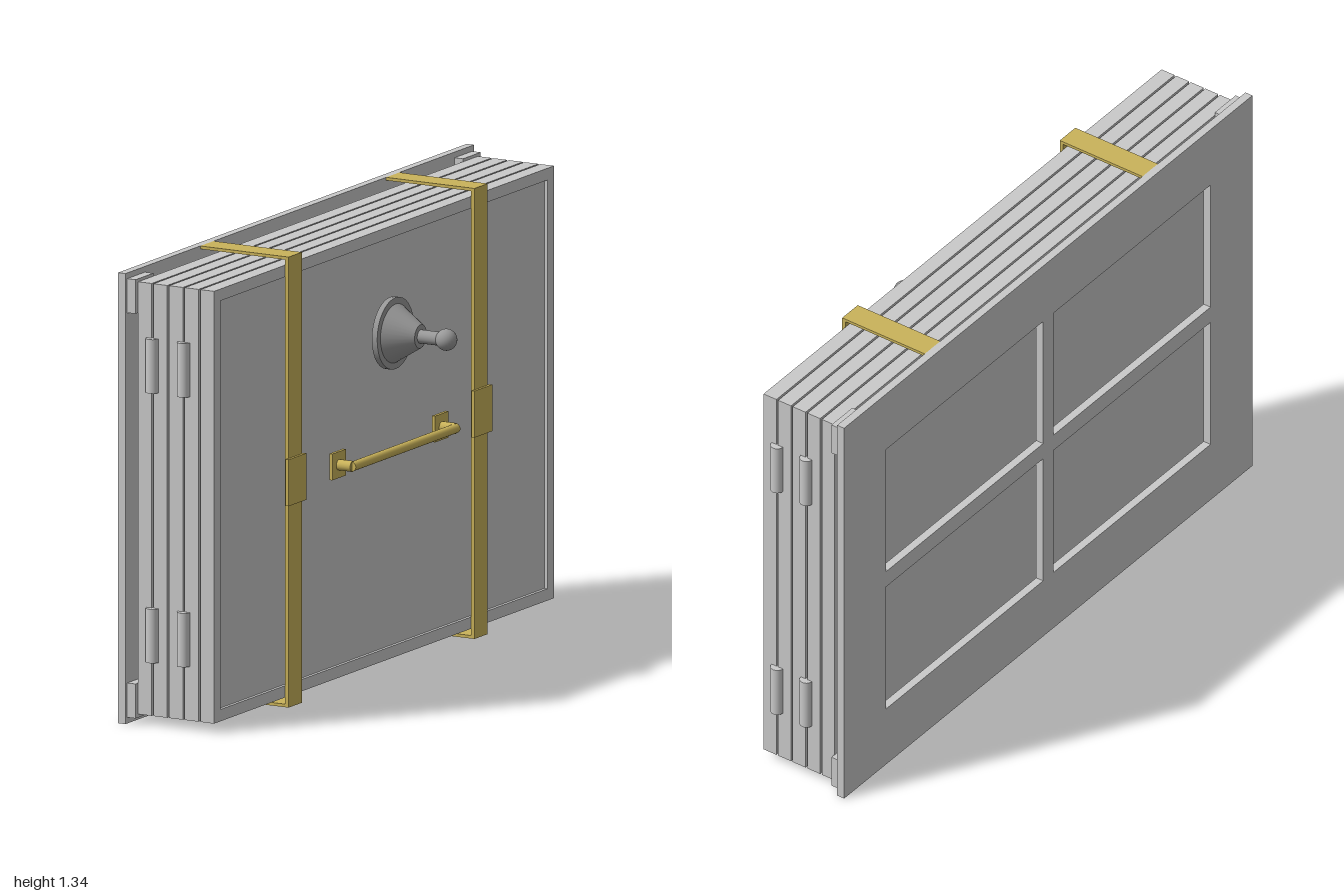
import * as THREE from 'three';

const grey = new THREE.MeshStandardMaterial({ color: 0xcacaca });
grey.name = 'pale grey';
const gold = new THREE.MeshStandardMaterial({ color: 0xcab35a });
gold.name = 'brass';
const steel = new THREE.MeshStandardMaterial({ color: 0x999999 });
steel.name = 'steel';

export function createModel() {
  const model = new THREE.Group();

  const add = (name, geometry, material) => {
    const mesh = new THREE.Mesh(geometry, material);
    mesh.name = name;
    model.add(mesh);
    return mesh;
  };

  // Box given by its extents on each axis
  const box = (name, material, [x0, x1], [y0, y1], [z0, z1]) => {
    const g = new THREE.BoxGeometry(x1 - x0, y1 - y0, z1 - z0);
    g.translate((x0 + x1) / 2, (y0 + y1) / 2, (z0 + z1) / 2);
    return add(name, g, material);
  };

  // Upright sheet in the yz plane with rectangular openings
  const rect = (Type, z0, z1, y0, y1) => {
    const s = new Type();
    s.moveTo(z0, y0).lineTo(z1, y0).lineTo(z1, y1).lineTo(z0, y1).closePath();
    return s;
  };
  const frame = (name, x0, x1, outer, holes) => {
    const s = rect(THREE.Shape, ...outer);
    s.holes = holes.map((h) => rect(THREE.Path, ...h));
    const g = new THREE.ExtrudeGeometry(s, { depth: x1 - x0, bevelEnabled: false });
    g.rotateY(Math.PI / 2);
    g.translate(x0, 0, 0);
    return add(name, g, grey);
  };

  // Back window frame with four openings
  const panes = [];
  for (const [z0, z1] of [[-0.795, -0.025], [0.025, 0.795]])
    for (const [y0, y1] of [[0.2, 0.64], [0.695, 1.135]]) panes.push([z0, z1, y0, y1]);
  frame('windowFrame', -0.275, -0.25, [-1, 1, 0, 1.335], panes);

  // Corner spacers between the window frame and the folded panels
  for (const s of [-1, 1])
    for (const y of [[0.018, 0.12], [1.217, 1.318]])
      box('cornerSpacer', grey, [-0.25, -0.222], y, s > 0 ? [0.888, 0.99] : [-0.99, -0.888]);

  // Five folded panels; the outermost has a raised rim
  const pitch = 0.0523, thick = 0.046, first = -0.223;
  for (let i = 0; i < 5; i++) {
    const x = first + i * pitch;
    const rim = i === 4 ? 0.01 : 0;
    box('foldedPanel', grey, [x, x + thick - rim], [0.028, 1.309], [-0.975, 0.975]);
    if (rim)
      frame('panelRim', x + thick - rim, x + thick, [-0.975, 0.975, 0.028, 1.309],
        [[-0.938, 0.938, 0.063, 1.274]]);
  }

  // Hinge barrels, alternating between the two ends
  for (let i = 0; i < 4; i++)
    for (const y of [0.268, 1.067]) {
      const hinge = add('hinge', new THREE.CylinderGeometry(0.02, 0.02, 0.16, 20), grey);
      hinge.position.set(first + (i + 1) * pitch - 0.003, y, i % 2 ? -0.975 : 0.975);
    }

  // Straps with buckles
  for (const z of [-0.533, 0.533]) {
    const w = [z - 0.038, z + 0.038];
    box('strapTop', gold, [-0.25, 0.046], [1.326, 1.335], w);
    box('strapBottom', gold, [-0.25, 0.046], [0, 0.009], w);
    box('strapFront', gold, [0.034, 0.046], [0.009, 1.326], w);
    box('buckle', gold, [0.044, 0.054], [0.6, 0.738], [z - 0.051, z + 0.051]);
  }

  // Carrying handle
  const hy = 0.668;
  for (const z of [-0.295, 0.295]) {
    box('handlePlate', gold, [0.044, 0.054], [hy - 0.039, hy + 0.039], [z - 0.039, z + 0.039]);
    const post = add('handlePost', new THREE.CylinderGeometry(0.016, 0.016, 0.05, 20), gold);
    post.rotation.z = -Math.PI / 2;
    post.position.set(0.075, hy, z);
  }
  const bar = add('handleBar', new THREE.CylinderGeometry(0.014, 0.014, 0.6, 20), gold);
  bar.rotation.x = Math.PI / 2;
  bar.position.set(0.099, hy, 0);

  // Knob: disc, cone, stem and ball along +x
  const knob = new THREE.Group();
  knob.name = 'knob';
  const turned = (name, rBack, rFront, x0, x1) => {
    const m = add(name, new THREE.CylinderGeometry(rFront, rBack, x1 - x0, 32), steel);
    m.rotation.z = -Math.PI / 2;
    m.position.x = (x0 + x1) / 2;
    knob.add(m);
  };
  turned('knobDisc', 0.106, 0.106, 0.053, 0.071);
  turned('knobCone', 0.087, 0.035, 0.071, 0.155);
  turned('knobStem', 0.02, 0.02, 0.155, 0.225);
  const ball = add('knobBall', new THREE.SphereGeometry(0.032, 24, 16), steel);
  ball.position.x = 0.241;
  knob.add(ball);
  knob.position.y = 1.003;
  model.add(knob);

  return model;
}
